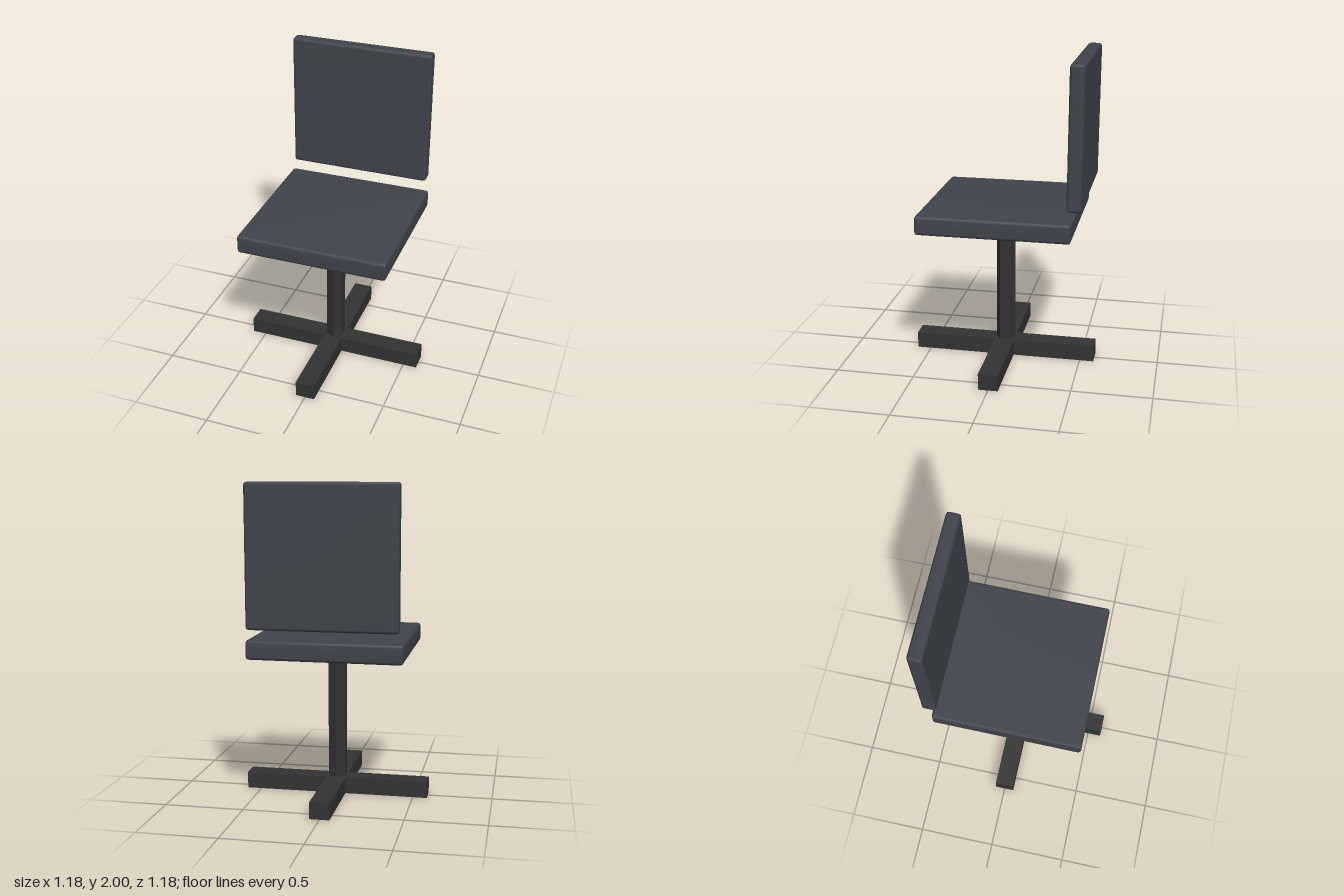
import * as THREE from 'three';
import { mergeVertices } from 'three/addons/utils/BufferGeometryUtils.js';
import { RoundedBoxGeometry } from 'three/addons/geometries/RoundedBoxGeometry.js';

const metal = new THREE.MeshStandardMaterial({ color: 0x333333 });
const fabric = new THREE.MeshStandardMaterial({ color: 0x40444b });

// Cushion with a single narrow chamfer and softly blended normals
function cushion(name, w, h, d, chamfer) {
  let geo = new RoundedBoxGeometry(w, h, d, 1, chamfer);
  geo.deleteAttribute('normal');
  geo.deleteAttribute('uv');
  geo = mergeVertices(geo, 1e-4);
  geo.computeVertexNormals();
  const mesh = new THREE.Mesh(geo, fabric);
  mesh.name = name;
  return mesh;
}

export function createModel() {
  const chair = new THREE.Group();
  chair.name = 'chair';

  // Four-armed foot: one plus-shaped outline, extruded upwards
  const reach = 0.59, half = 0.062, footHeight = 0.105;
  const outline = [];
  for (let i = 0; i < 4; i++) {
    const turn = i * Math.PI / 2;
    for (const [x, y] of [[reach, -half], [reach, half], [half, half]]) {
      outline.push(new THREE.Vector2(x, y).rotateAround(new THREE.Vector2(), turn));
    }
  }
  const footGeo = new THREE.ExtrudeGeometry(new THREE.Shape(outline), { depth: footHeight, bevelEnabled: false });
  footGeo.rotateX(-Math.PI / 2);
  const foot = new THREE.Mesh(footGeo, metal);
  foot.name = 'crossBase';
  chair.add(foot);

  // Six-sided post, its ends sunk into the foot and the seat
  const postMaterial = metal.clone();
  postMaterial.flatShading = true;
  const post = new THREE.Mesh(new THREE.CylinderGeometry(0.062, 0.062, 0.88, 6), postMaterial);
  post.name = 'post';
  post.position.y = 0.52;
  chair.add(post);

  // Seat
  const seat = cushion('seat', 0.96, 0.12, 0.955, 0.018);
  seat.position.y = 0.993;
  seat.rotation.z = 0.003;
  chair.add(seat);

  // Backrest, floating above the rear edge and leaning back very slightly
  const back = cushion('backrest', 0.92, 0.873, 0.09, 0.018);
  back.position.set(0, 1.562, -0.493);
  back.rotation.x = -0.007;
  chair.add(back);

  return chair;
}
